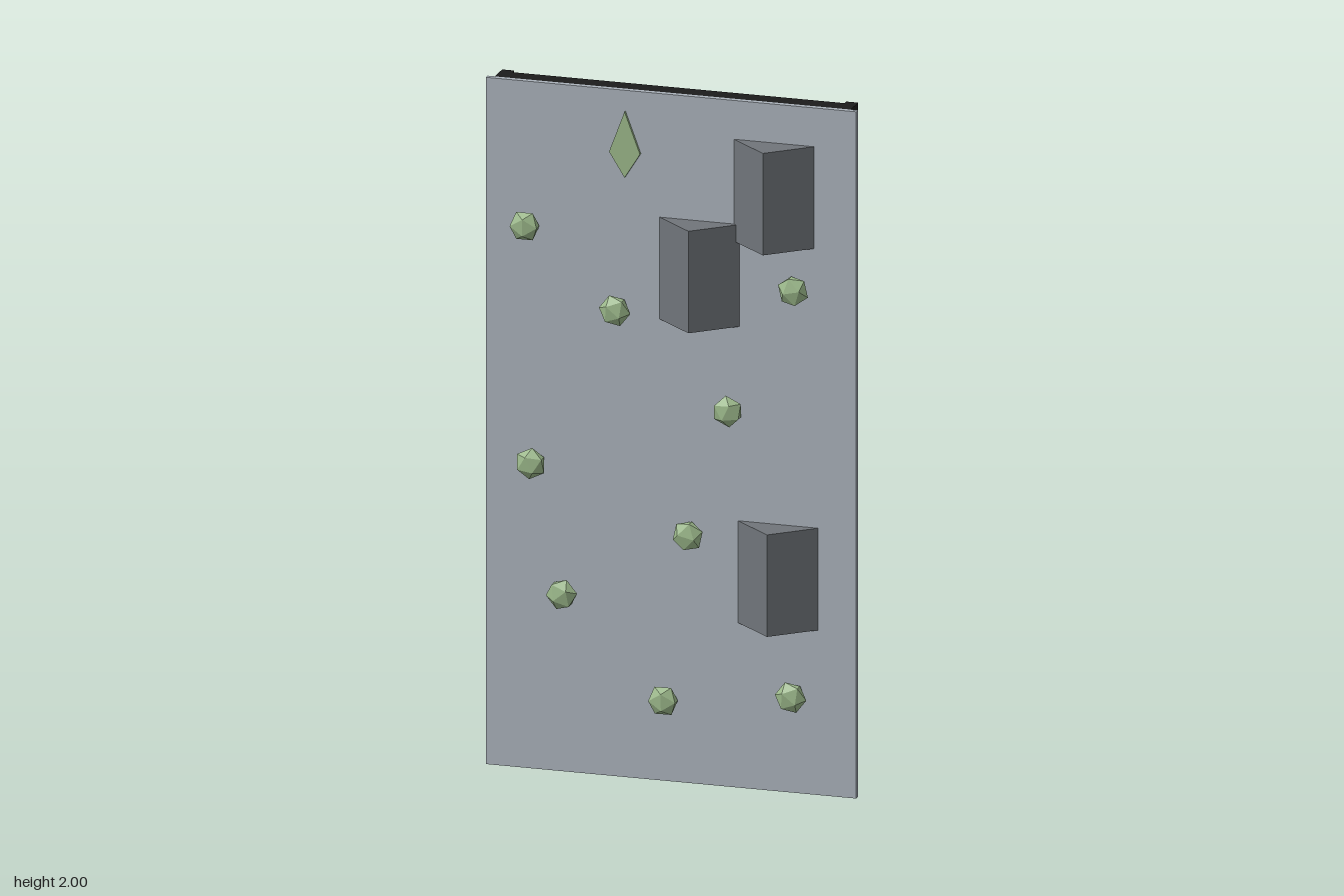
import * as THREE from 'three';

const mat = (name, color, flatShading = false) => {
  const m = new THREE.MeshStandardMaterial({ color, flatShading });
  m.name = name;
  return m;
};

export function createModel() {
  const group = new THREE.Group();
  const panelGrey = mat('panelGrey', 0xaab2bb);
  const frameBlack = mat('frameBlack', 0x1c1c1c);
  const wedgeGrey = mat('wedgeGrey', 0x70757a, true);
  const holdGreen = mat('holdGreen', 0x9cb98b, true);

  const add = (name, geometry, material, x, y, z) => {
    const mesh = new THREE.Mesh(geometry, material);
    mesh.name = name;
    mesh.position.set(x, y, z);
    group.add(mesh);
    return mesh;
  };

  // Extruded outline with no bevel
  const extrude = (points, depth) => new THREE.ExtrudeGeometry(
    new THREE.Shape(points.map(([x, y]) => new THREE.Vector2(x, y))),
    { depth, bevelEnabled: false });

  // Climbing panel
  add('panel', new THREE.BoxGeometry(1.08, 2, 0.016), panelGrey, 0, 1, -0.018);

  // Rear frame: deep posts with shallower rails between
  for (const side of [-1, 1]) {
    add('framePost', new THREE.BoxGeometry(0.035, 2, 0.068), frameBlack, side * 0.5015, 1, -0.06);
    add('frameRail', new THREE.BoxGeometry(0.968, 0.055, 0.052), frameBlack, 0, 1 + side * 0.9725, -0.052);
  }

  // Triangular volumes: ridge x, bottom y
  const wedge = extrude([[-0.117, 0], [0.117, 0], [0, -0.103]], 0.297);
  wedge.rotateX(-Math.PI / 2); // outline y becomes -z, depth becomes y
  for (const [x, y] of [[0.3, 1.59], [0.083, 1.343], [0.312, 0.48]]) {
    add('wedgeVolume', wedge, wedgeGrey, x, y, -0.01);
  }

  // Faceted hand holds
  const holds = [
    [-0.42, 1.585], [-0.157, 1.363], [0.363, 1.468], [0.172, 1.1], [-0.402, 0.895],
    [0.056, 0.727], [-0.312, 0.522], [-0.016, 0.24], [0.356, 0.284],
  ];
  holds.forEach(([x, y], i) => {
    const hold = add('handHold', new THREE.IcosahedronGeometry(0.046), holdGreen, x, y, 0.014);
    hold.scale.z = 0.55;
    hold.rotation.z = i * 0.9;
  });

  // Flat diamond marker near the top
  add('diamondMarker', extrude([[0, 0.12], [-0.045, 0], [0, -0.072], [0.045, 0]], 0.009),
    holdGreen, -0.133, 1.82, -0.01);

  return group;
}
